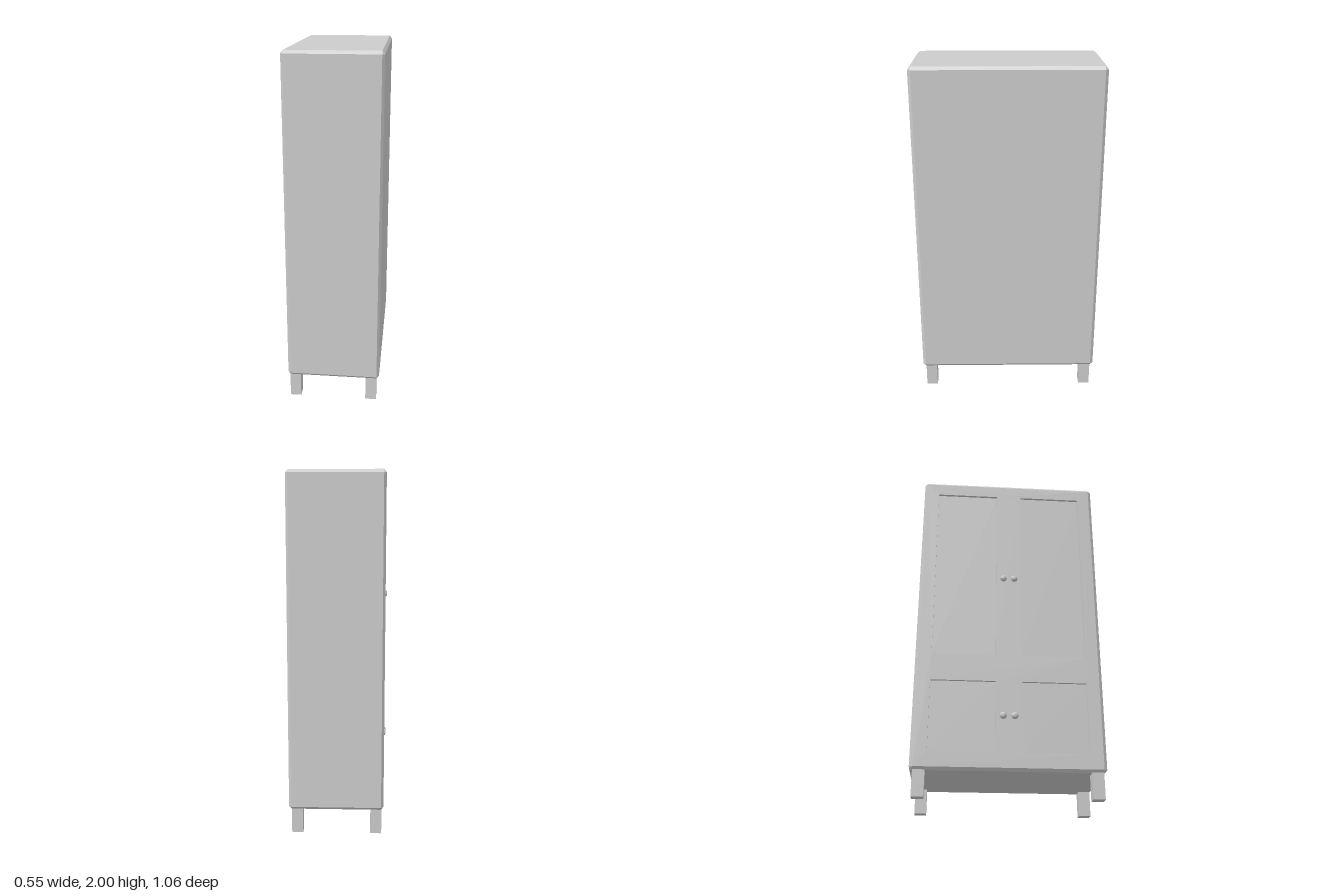
import * as THREE from 'three';

const Y0 = 0.14, Y1 = 2, HZ = 0.53;            // cabinet body extents
const FRONT = -0.255, BACK = 0.275;            // doors face -x
const CX = 0.014, C = 0.017;                   // chamfer along x / across y and z
const FLOOR = FRONT + CX;                      // plane of the recessed panels

// Cross-section of the body: an octagon, or its inset rectangle with doubled corners
function section(x, octagon) {
  const e = octagon ? 0 : C;
  const zo = HZ - e, zi = HZ - C, cy = (Y0 + Y1) / 2, hy = (Y1 - Y0) / 2;
  const yo = hy - e, yi = hy - C;
  return [[zo, -yi], [zo, yi], [zi, yo], [-zi, yo], [-zo, yi], [-zo, -yi], [-zi, -yo], [zi, -yo]]
    .map(([z, y]) => [x, cy + y, z]);
}

// Chamfered carcass, open on the door side
function carcassGeometry() {
  const rings = [section(FRONT, false), section(FLOOR, true), section(BACK - CX, true), section(BACK, false)];
  const pos = [];
  for (let k = 0; k < 3; k++) {
    for (let i = 0; i < 8; i++) {
      const j = (i + 1) % 8;
      const a = rings[k][i], b = rings[k][j], c = rings[k + 1][i], d = rings[k + 1][j];
      pos.push(...a, ...c, ...b, ...b, ...c, ...d);
    }
  }
  const cap = rings[3];
  for (let i = 1; i < 7; i++) pos.push(...cap[0], ...cap[i + 1], ...cap[i]);
  const g = new THREE.BufferGeometry();
  g.setAttribute('position', new THREE.Float32BufferAttribute(pos, 3));
  g.computeVertexNormals();
  return g;
}

function rectangle(target, z0, z1, y0, y1) {
  target.moveTo(z0, y0);
  target.lineTo(z1, y0);
  target.lineTo(z1, y1);
  target.lineTo(z0, y1);
  target.closePath();
  return target;
}

export function createModel() {
  const group = new THREE.Group();
  const grey = new THREE.MeshStandardMaterial({ color: 0xcccccc });
  grey.name = 'light grey';

  const add = (name, geometry, x = 0, y = 0, z = 0) => {
    const mesh = new THREE.Mesh(geometry, grey);
    mesh.name = name;
    mesh.position.set(x, y, z);
    group.add(mesh);
  };

  add('carcass', carcassGeometry());

  // Door frame with four panel openings
  const frame = rectangle(new THREE.Shape(), -HZ + C, HZ - C, Y0 + C, Y1 - C);
  for (const [y0, y1] of [[0.24, 0.65], [0.81, 1.91]]) {
    for (const side of [-1, 1]) {
      const z0 = side < 0 ? -0.44 : 0.075;
      frame.holes.push(rectangle(new THREE.Path(), z0, z0 + 0.365, y0, y1));
      add('recessedPanel', new THREE.BoxGeometry(0.008, y1 - y0 + 0.01, 0.375),
        FLOOR + 0.004, (y0 + y1) / 2, z0 + 0.1825);
    }
  }
  const frameGeometry = new THREE.ExtrudeGeometry(frame, { depth: CX, bevelEnabled: false });
  frameGeometry.rotateY(-Math.PI / 2);
  add('doorFrame', frameGeometry, FLOOR);

  // Faceted knobs, one pair per row of doors
  const profile = [[0.013, -0.002], [0.021, 0.007], [0.018, 0.016], [0.01, 0.022], [0, 0.023]]
    .map(([r, h]) => new THREE.Vector2(r, h));
  const knob = new THREE.LatheGeometry(profile, 8).toNonIndexed();
  knob.rotateZ(Math.PI / 2);
  knob.computeVertexNormals();
  for (const y of [0.447, 1.31]) {
    for (const z of [-0.032, 0.032]) add('knob', knob, FRONT, y, z);
  }

  // Four square legs
  const leg = new THREE.BoxGeometry(0.062, Y0 + 0.004, 0.066);
  for (const x of [-0.213, 0.228]) {
    for (const z of [-0.479, 0.479]) add('leg', leg, x, (Y0 + 0.004) / 2, z);
  }
  return group;
}
